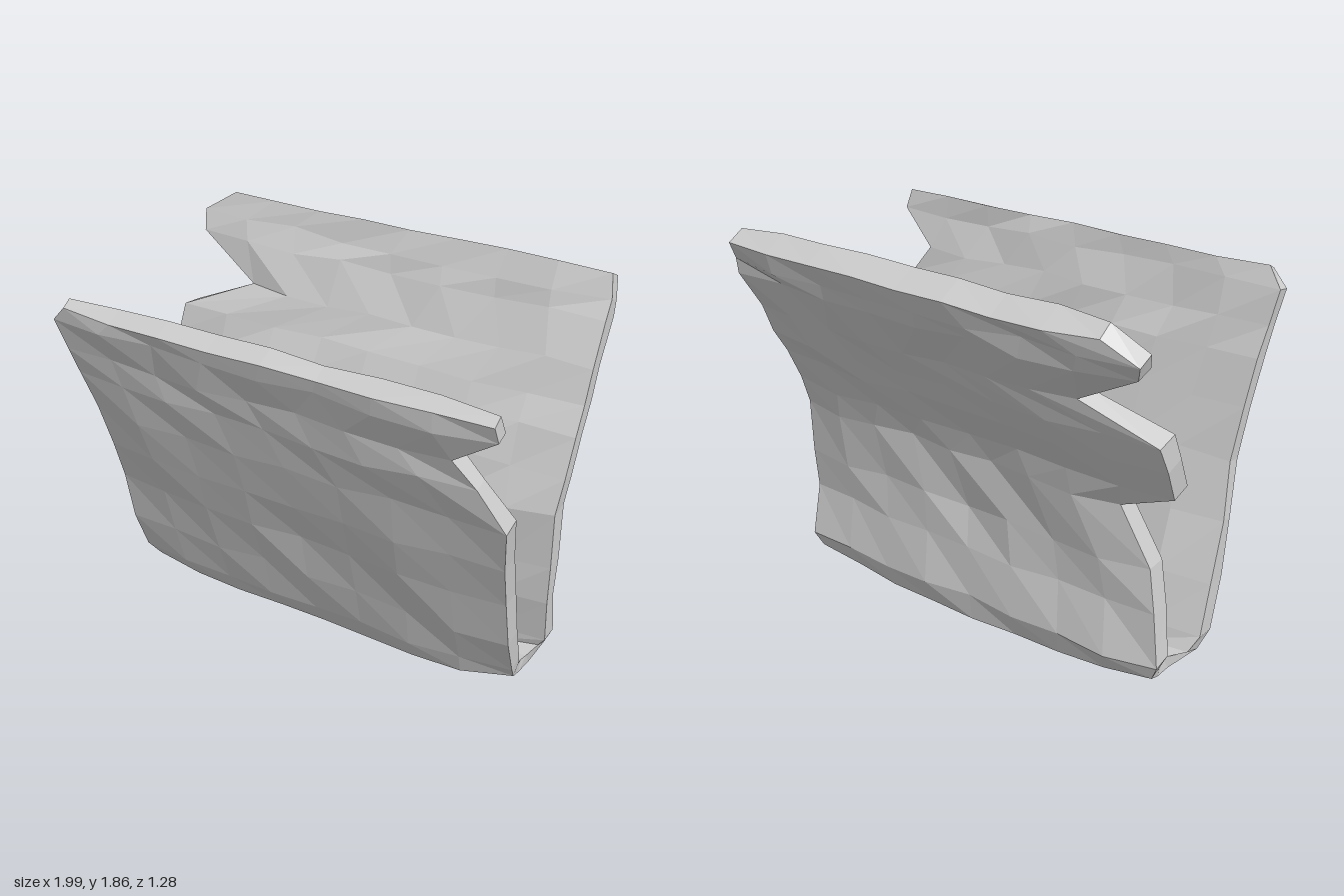
import * as THREE from 'three';

// Small seeded noise, -1 to 1, for the crumpled surface
const noise = (a, b) => {
  const s = Math.sin(a * 127.1 + b * 311.7 + 4.2) * 43758.5453;
  return (s - Math.floor(s)) * 2 - 1;
};

// Sections along the sheet: [left edge x, right edge x, outer z, outer y, inner z, inner y]
const sections = [
  // front panel, top to bottom
  [-0.93, 0.96, 0.62, 1.73, 0.54, 1.765],
  [-1.0, 0.97, 0.61, 1.66, 0.51, 1.68],
  [-0.98, 0.78, 0.56, 1.51, 0.46, 1.53],
  [-0.97, 0.87, 0.53, 1.38, 0.41, 1.40],
  [-0.96, 0.98, 0.46, 1.18, 0.35, 1.20],
  [-0.95, 0.96, 0.39, 0.95, 0.27, 0.97],
  [-0.98, 0.95, 0.31, 0.72, 0.19, 0.72],
  [-0.99, 0.95, 0.23, 0.45, 0.10, 0.46],
  [-1.0, 0.94, 0.15, 0.22, 0.02, 0.24],
  // rolled bottom
  [-0.97, 0.93, 0.09, 0.08, -0.02, 0.13],
  [-0.90, 0.92, -0.03, 0.02, -0.05, 0.11],
  [-0.89, 0.93, -0.12, 0.01, -0.08, 0.11],
  [-0.91, 0.96, -0.22, 0.07, -0.13, 0.13],
  [-0.94, 0.99, -0.26, 0.20, -0.13, 0.22],
  // back panel, bottom to top
  [-0.90, 0.99, -0.22, 0.45, -0.09, 0.45],
  [-0.86, 0.99, -0.21, 0.65, -0.08, 0.65],
  [-0.72, 0.98, -0.24, 0.92, -0.10, 0.92],
  [-0.99, 0.99, -0.28, 1.05, -0.16, 1.08],
  [-1.0, 0.99, -0.36, 1.21, -0.22, 1.24],
  [-0.99, 0.99, -0.42, 1.33, -0.29, 1.36],
  [-0.66, 0.99, -0.49, 1.47, -0.36, 1.50],
  [-0.96, 0.99, -0.58, 1.65, -0.45, 1.68],
  [-0.99, 0.99, -0.61, 1.72, -0.49, 1.76],
  [-0.84, 0.97, -0.645, 1.80, -0.53, 1.86],
];
const columns = 8;

function foldedSheetGeometry() {
  const points = [], index = [];
  const rows = sections.length;
  const id = (r, c, side) => (r * (columns + 1) + c) * 2 + side;
  const quad = (a, b, c, d) => index.push(a, b, c, a, c, d);

  sections.forEach(([xl, xr, zo, yo, zi, yi], r) => {
    for (let c = 0; c <= columns; c++) {
      const u = c / columns, edge = c === 0 || c === columns;
      const x = xl + (xr - xl) * u;
      // bottom lifts toward the ends, edges are slightly pinched
      const lift = yo < 0.1 ? 0.05 * Math.abs(2 * u - 1) ** 3 : 0;
      const pinch = edge ? 0.15 : 0;
      const wobble = r === 0 || r === rows - 1 ? 0.008 : 0.016;
      const dz = noise(r, c) * wobble;
      const dy = edge || yo < 0.1 ? 0 : noise(c + 9, r) * wobble;
      points.push(x, yo + (yi - yo) * pinch + lift + dy, zo + (zi - zo) * pinch + dz);
      points.push(x, yi + (yo - yi) * pinch + lift + dy, zi + (zo - zi) * pinch + noise(r + 40, c) * wobble);
    }
  });

  for (let r = 0; r < rows - 1; r++) {
    for (let c = 0; c < columns; c++) {
      quad(id(r, c, 0), id(r + 1, c, 0), id(r + 1, c + 1, 0), id(r, c + 1, 0));
      quad(id(r, c, 1), id(r, c + 1, 1), id(r + 1, c + 1, 1), id(r + 1, c, 1));
    }
    // side edges
    quad(id(r, 0, 0), id(r, 0, 1), id(r + 1, 0, 1), id(r + 1, 0, 0));
    quad(id(r, columns, 0), id(r + 1, columns, 0), id(r + 1, columns, 1), id(r, columns, 1));
  }
  // top edges of both panels
  for (let c = 0; c < columns; c++) {
    quad(id(0, c, 0), id(0, c + 1, 0), id(0, c + 1, 1), id(0, c, 1));
    const e = rows - 1;
    quad(id(e, c, 0), id(e, c, 1), id(e, c + 1, 1), id(e, c + 1, 0));
  }

  const geometry = new THREE.BufferGeometry();
  geometry.setAttribute('position', new THREE.Float32BufferAttribute(points, 3));
  geometry.setIndex(index);
  const flat = geometry.toNonIndexed();
  flat.computeVertexNormals();
  return flat;
}

export function createModel() {
  const group = new THREE.Group();
  group.name = 'crumpledFoldedSheet';
  const material = new THREE.MeshStandardMaterial({ color: 0xcccccc, flatShading: true });
  const sheet = new THREE.Mesh(foldedSheetGeometry(), material);
  sheet.name = 'foldedSheet';
  group.add(sheet);
  return group;
}
